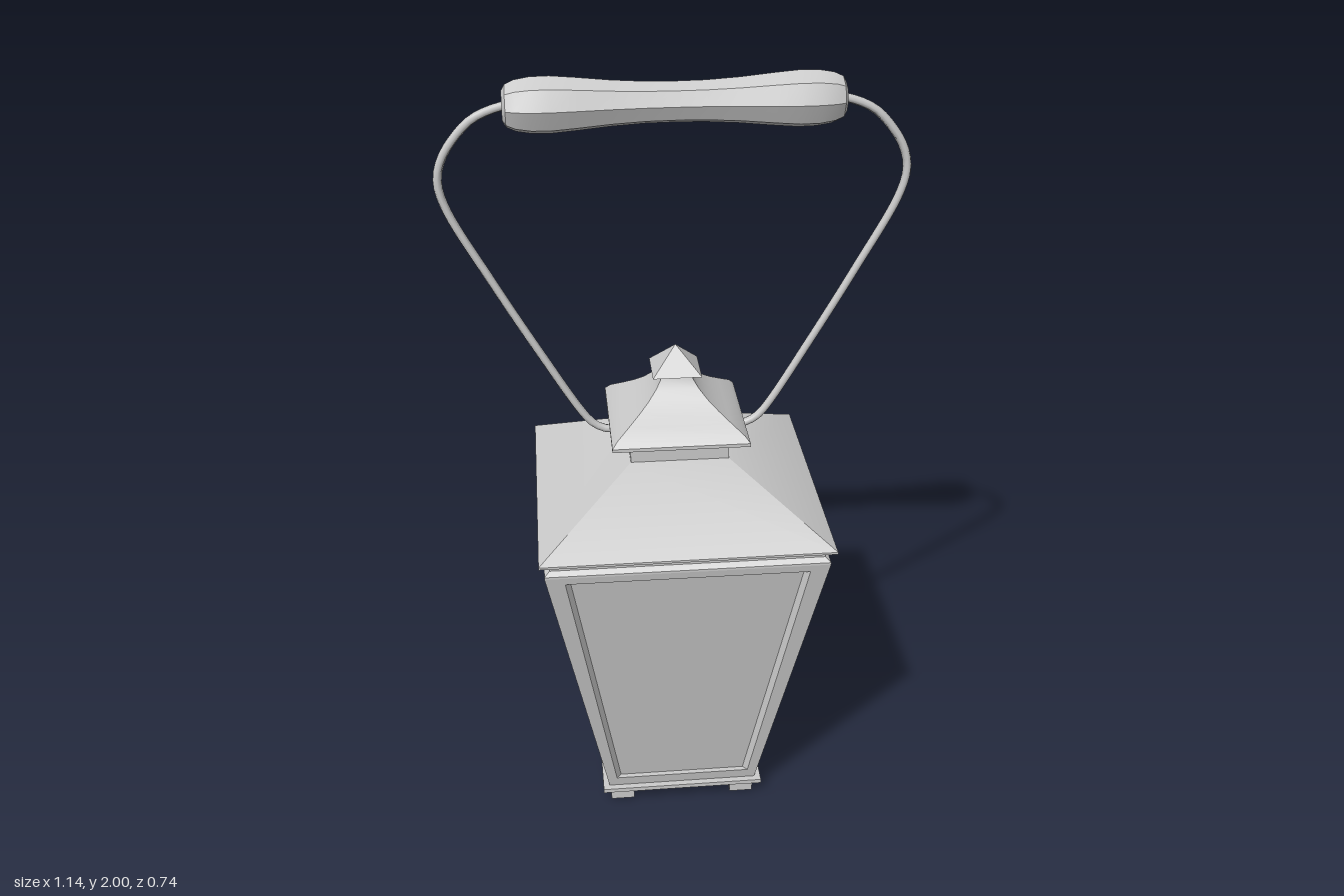
import * as THREE from 'three';
import { toCreasedNormals } from 'three/addons/utils/BufferGeometryUtils.js';

const grey = new THREE.MeshStandardMaterial({ color: 0xcccccc });

function part(name, geometry, crease = 0.6) {
  const mesh = new THREE.Mesh(toCreasedNormals(geometry, crease), grey);
  mesh.name = name;
  return mesh;
}

// Square-plan solid from [half width, height] pairs, bottom to top
function squareLathe(name, profile) {
  const points = profile.map(([h, y]) => new THREE.Vector2(h * Math.SQRT2, y));
  return part(name, new THREE.LatheGeometry(points, 4, Math.PI / 4));
}

// Half width of the tapered body at a given height
const Y0 = 0.055, Y1 = 0.862;
const half = (y) => 0.205 + ((y - Y0) * 0.15) / (Y1 - Y0);

// One leaning window frame: flat trapezoid with a hole, then tilted and mitred
function windowFrame() {
  const depth = 0.016;
  const trapezoid = (Type, b, yb, t, yt) => new Type([[-b, yb], [b, yb], [t, yt], [-t, yt]]
    .map(([x, y]) => new THREE.Vector2(x, y)));
  const shape = trapezoid(THREE.Shape, half(Y0), Y0, half(Y1), Y1);
  shape.holes.push(trapezoid(THREE.Path, 0.184, 0.085, 0.305, 0.842));
  const geo = new THREE.ExtrudeGeometry(shape, { depth, bevelEnabled: false });
  const p = geo.attributes.position;
  for (let i = 0; i < p.count; i++) {
    const h = half(p.getY(i)), inset = depth - p.getZ(i);
    p.setX(i, p.getX(i) * (h - inset) / h);
    p.setZ(i, h - inset);
  }
  return geo;
}

export function createModel() {
  const lantern = new THREE.Group();
  lantern.name = 'lantern';

  // Feet and base plate
  for (const x of [-1, 1]) for (const z of [-1, 1]) {
    const foot = part('foot', new THREE.BoxGeometry(0.064, 0.046, 0.064));
    foot.position.set(x * 0.168, 0.023, z * 0.168);
    lantern.add(foot);
  }
  lantern.add(squareLathe('basePlate', [[0, 0.043], [0.222, 0.043], [0.222, 0.055], [0, 0.055]]));

  // Glass body with a frame on each side
  lantern.add(squareLathe('glass', [[half(Y0) - 0.014, Y0], [half(Y1) - 0.014, Y1]]));
  const frame = windowFrame();
  for (let i = 0; i < 4; i++) {
    const side = part('windowFrame', frame);
    side.rotation.y = (i * Math.PI) / 2;
    lantern.add(side);
  }

  // Rim, roof and neck
  lantern.add(squareLathe('rim', [
    [0, 0.86], [0.355, 0.862], [0.355, 0.868], [0.342, 0.878], [0.342, 0.905], [0, 0.905]]));
  lantern.add(squareLathe('roof', [[0, 0.9], [0.368, 0.9], [0.368, 0.906], [0.125, 1.05], [0, 1.05]]));
  lantern.add(squareLathe('neck', [[0.125, 1.04], [0.125, 1.11]]));

  // Flared cap and pointed finial
  lantern.add(squareLathe('cap', [
    [0, 1.106], [0.173, 1.106], [0.173, 1.115], [0.16, 1.13], [0.128, 1.152], [0.1, 1.172],
    [0.075, 1.193], [0.055, 1.215], [0.042, 1.235], [0.036, 1.256]]));
  lantern.add(squareLathe('finial', [[0, 1.25], [0.062, 1.25], [0, 1.316]]));

  // Bent wire on both sides
  const path = [[0.1, 1.082], [0.15, 1.082], [0.185, 1.086], [0.215, 1.104], [0.243, 1.14], [0.345, 1.315],
    [0.45, 1.505], [0.545, 1.69], [0.56, 1.755], [0.55, 1.805], [0.52, 1.855], [0.47, 1.905], [0.4, 1.933], [0.36, 1.936]];
  for (const s of [-1, 1]) {
    const curve = new THREE.CatmullRomCurve3(path.map(([x, y]) => new THREE.Vector3(s * x, y, 0)));
    lantern.add(part('wire', new THREE.TubeGeometry(curve, 56, 0.0105, 8), 1));
  }

  // Eight-sided wooden grip
  const halfGrip = [[0.4, 0.036], [0.392, 0.05], [0.37, 0.06], [0.335, 0.066], [0.29, 0.067],
    [0.23, 0.062], [0.15, 0.054], [0.07, 0.049]];
  const profile = [[-0.4, 0], ...halfGrip.map(([x, r]) => [-x, r]), [0, 0.048],
    ...halfGrip.slice().reverse(), [0.4, 0]];
  const gripGeo = new THREE.LatheGeometry(profile.map(([x, r]) => new THREE.Vector2(r, x)), 8);
  gripGeo.rotateZ(-Math.PI / 2);
  const grip = part('grip', gripGeo);
  grip.position.y = 1.933;
  lantern.add(grip);

  return lantern;
}
